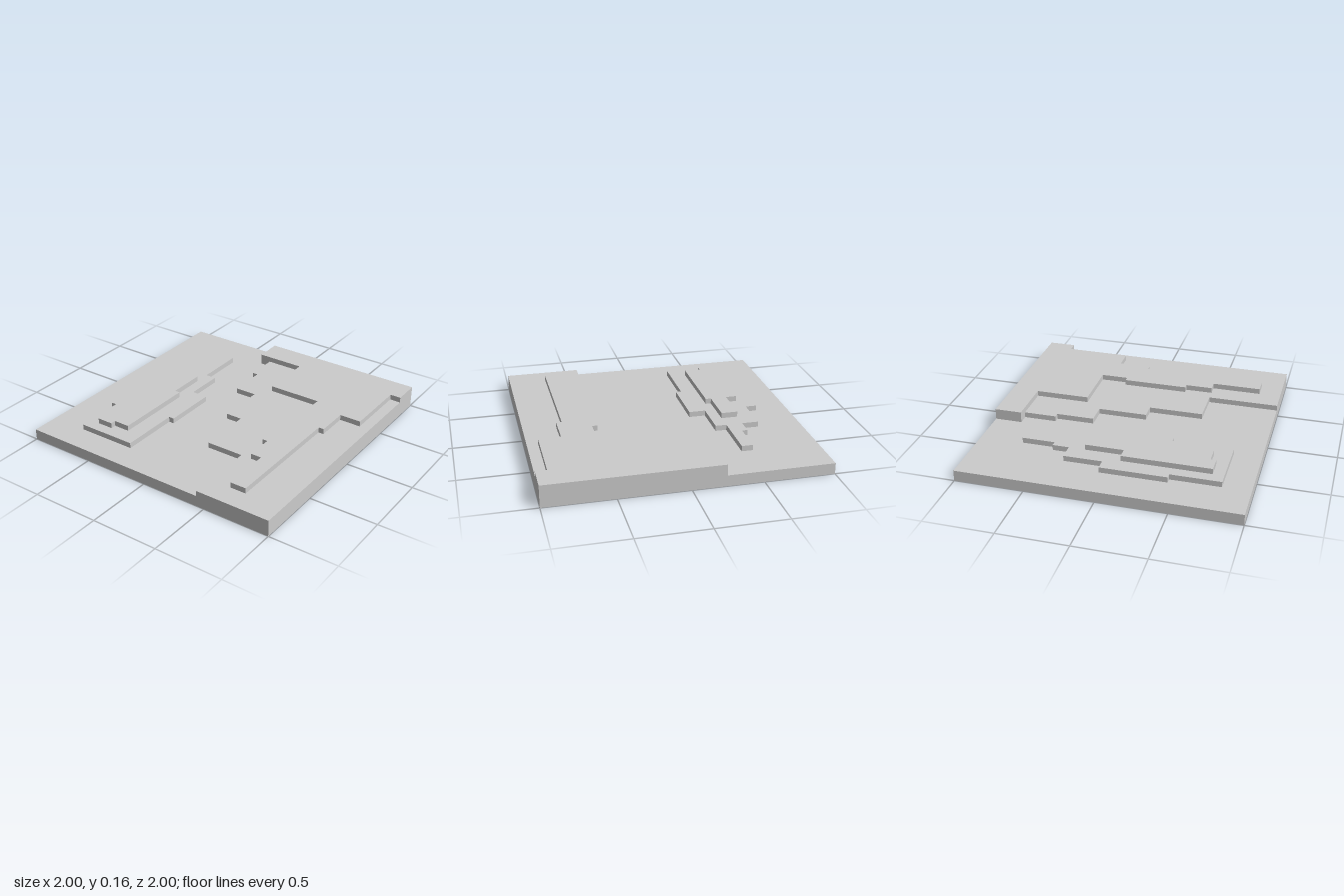
import * as THREE from 'three';

const STEP = 0.04; // height of one terrace layer
const material = new THREE.MeshStandardMaterial({ color: 0xcccccc, flatShading: true });

// Right-angled outline: start at (x, z), then alternate a new x and a new z.
function steppedShape(x, z, turns) {
  const points = [new THREE.Vector2(x, -z)];
  turns.forEach((value, i) => {
    if (i % 2 === 0) x = value;
    else z = value;
    points.push(new THREE.Vector2(x, -z));
  });
  return new THREE.Shape(points);
}

// Flat layer of terrain, extruded upwards from the given height.
function layer(name, bottom, height, shape) {
  const geometry = new THREE.ExtrudeGeometry(shape, { depth: height, bevelEnabled: false });
  geometry.rotateX(-Math.PI / 2).translate(0, bottom, 0);
  const mesh = new THREE.Mesh(geometry, material);
  mesh.name = name;
  return mesh;
}

export function createModel() {
  const group = new THREE.Group();
  group.name = 'terracedTerrain';

  // Square ground slab
  group.add(layer('groundSlab', 0, 2 * STEP, steppedShape(-1, -1, [1, 1, -1])));

  // Front hillside: wide lower terrace and narrow upper ridge
  group.add(layer('frontLowerTerrace', 2 * STEP, STEP, steppedShape(-1, 0.44, [
    -0.48, 0.16, -0.08, 0.04, 0.28, -0.12, 0.56, -0.16, 0.8, -0.24, 1, 1, -1,
  ])));
  group.add(layer('frontUpperTerrace', 3 * STEP, STEP, steppedShape(0.8, -0.24, [
    1, 1, 0.8, 0.92, 0.32, 0.76, 0.08, 0.72, -0.84, 0.6,
    -0.48, 0.52, -0.28, 0.48, 0.2, 0.52, 0.4, 0.12, 0.8,
  ])));

  // Back hill: separate mound with a smaller top
  group.add(layer('backHillBase', 2 * STEP, STEP, steppedShape(-0.8, -0.72, [
    -0.44, -0.76, 0.04, -0.68, 0.32, -0.56, 0.44, -0.52, 0.68, -0.44,
    0.32, -0.36, 0.04, -0.24, -0.36, -0.28, -0.8,
  ])));
  group.add(layer('backHillTop', 3 * STEP, STEP, steppedShape(-0.72, -0.64, [
    -0.08, -0.56, 0.2, -0.44, -0.08, -0.4, -0.68, -0.52, -0.72,
  ])));

  return group;
}
